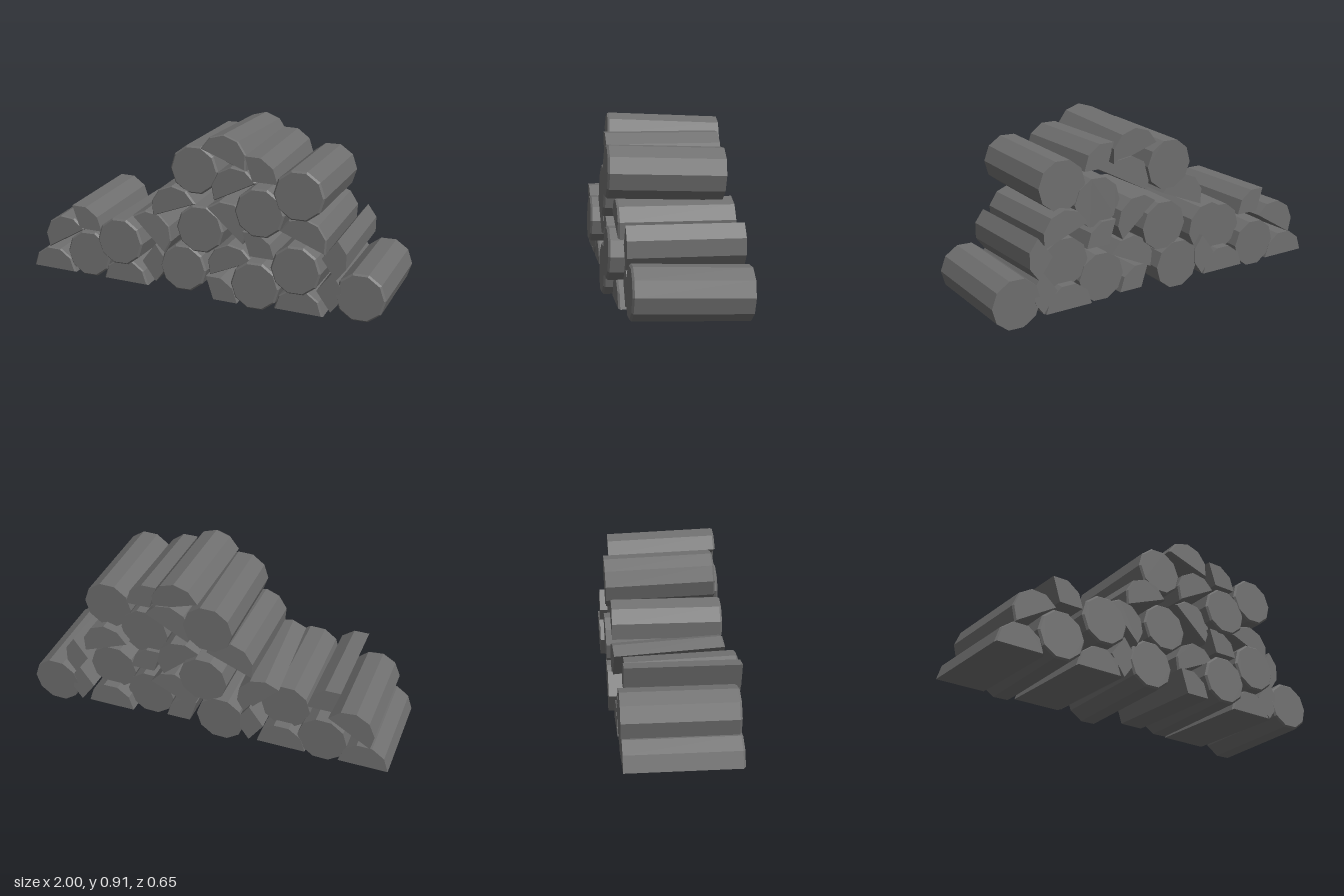
import * as THREE from 'three';

const R = 0.132, LENGTH = 0.565, STEP = Math.PI / 5; // logs are ten-sided

// Prism from z = -LENGTH to 0; sides < 10 gives a split piece, bevel trims the front rim
function pieceGeometry(sides, start, bevel) {
  const pts = [];
  for (let i = 0; i <= sides; i++) {
    if (sides === 10 && i === 10) break;
    const a = start + i * STEP;
    pts.push(new THREE.Vector2(R * Math.cos(a), R * Math.sin(a)));
  }
  if (sides < 5) pts.push(new THREE.Vector2(0, 0));
  const geo = new THREE.ExtrudeGeometry(new THREE.Shape(pts), {
    depth: LENGTH, steps: bevel ? 2 : 1, bevelEnabled: false,
  });
  const mid = new THREE.Vector2();
  pts.forEach((p) => mid.addScaledVector(p, 1 / pts.length));
  const pos = geo.attributes.position;
  for (let i = 0; i < pos.count; i++) {
    const z = pos.getZ(i) - LENGTH;
    pos.setZ(i, z);
    if (!bevel) continue;
    if (z > -0.001) {
      pos.setX(i, mid.x + (pos.getX(i) - mid.x) * 0.93);
      pos.setY(i, mid.y + (pos.getY(i) - mid.y) * 0.93);
    } else if (z > -LENGTH + 0.001) pos.setZ(i, -0.01);
  }
  geo.computeVertexNormals();
  return geo;
}

// Whole logs: x, y, z of the front end
const LOGS = [
  [-0.645, 0.148, 0.275], [-0.43, 0.27, 0.32], [-0.095, 0.148, 0.25],
  [0.335, 0.148, 0.32], [0.866, 0.148, 0.245], [0.55, 0.27, 0.32],
  [0, 0.38, 0.245], [0.355, 0.547, 0.32], [-0.03, 0.7, 0.245], [0.558, 0.666, 0.32],
];
// Half logs: x, y, z of the front end, roll in degrees, pitch, yaw
const HALVES = [
  [-0.868, 0.02, 0.275, 0, 0, 0], [-0.425, 0.02, 0.275, 0, 0, 0], [0.555, 0.02, 0.275, 0, 0, 0],
  [0.565, 0.405, 0.275, -21, 0, 0], [0.14, 0.783, 0.275, -19, -0.045, -0.03],
  [-0.285, 0.315, 0.27, -45, -0.045, 0.05], [0.15, 0.432, 0.275, -41, -0.045, 0.03],
  [-0.135, 0.475, 0.27, 22, 0, 0], [0.205, 0.62, 0.27, 28, 0, 0],
  [-0.785, 0.215, 0.27, 31, 0, 0], [0.185, 0.2, 0.27, 25, 0, 0],
];
// Split wedges: x, y, z of the front edge, start angle in degrees
const WEDGES = [
  [-0.68, 0.302, 0.3, 0], [0.31, 0.702, 0.3, 0], [0.3, 0.302, 0.3, 0], [0.1, 0.025, 0.3, 0],
  [0.663, 0.328, 0.245, -54], [-0.335, 0.148, 0.245, -54], [0.64, 0.148, 0.245, -54],
];

export function createModel() {
  const group = new THREE.Group();
  group.name = 'woodpile';
  const material = new THREE.MeshStandardMaterial({ color: 0x6f6f6f, flatShading: true });
  const add = (name, geo, x, y, z, pitch = 0, yaw = 0) => {
    const mesh = new THREE.Mesh(geo, material);
    mesh.name = name;
    mesh.position.set(x, y, z);
    mesh.rotation.set(pitch, yaw, 0);
    group.add(mesh);
  };

  // Round logs, front ends slightly raised
  const logGeo = pieceGeometry(10, 0.03, true);
  LOGS.forEach(([x, y, z], i) => add(`log${i + 1}`, logGeo, x, y, z, -0.036));

  // Logs split in two
  HALVES.forEach(([x, y, z, roll, pitch, yaw], i) =>
    add(`halfLog${i + 1}`, pieceGeometry(5, THREE.MathUtils.degToRad(roll), true), x, y, z, pitch, yaw));

  // Narrow wedges filling the gaps
  WEDGES.forEach(([x, y, z, start], i) =>
    add(`wedge${i + 1}`, pieceGeometry(3, THREE.MathUtils.degToRad(start), false), x, y, z));

  return group;
}
